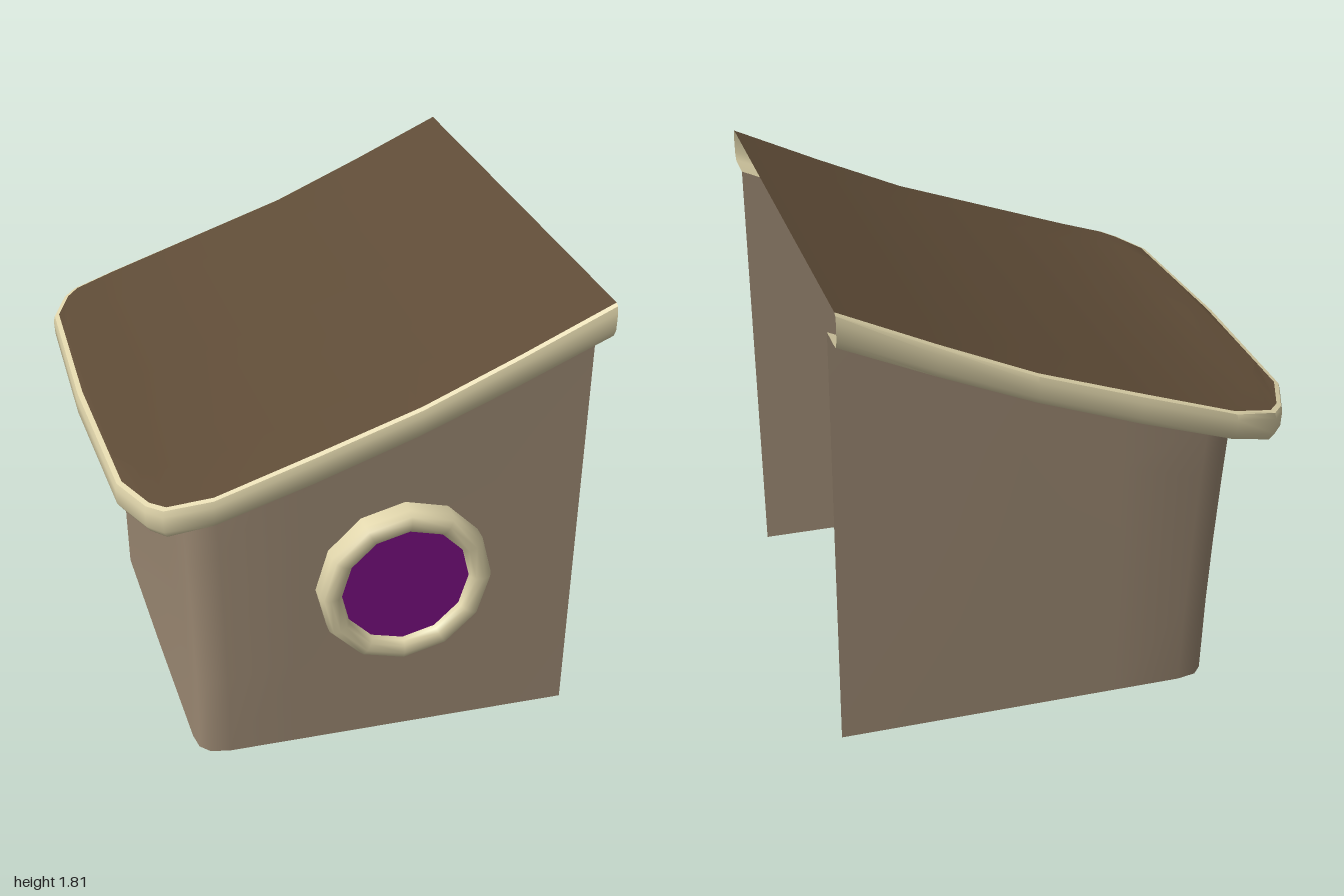
import * as THREE from 'three';
import { toCreasedNormals } from 'three/addons/utils/BufferGeometryUtils.js';

const material = (color) => new THREE.MeshStandardMaterial({ color, side: THREE.DoubleSide });
const lerp = THREE.MathUtils.lerp;

// Stations around half the plan, from the open end to the middle of the closed end:
// eave (x, z), eave top and bottom y, wall top (x, z), wall foot (x, z), lift of the roof middle
const half = [
  { eave: [0.87, 1], top: 1.81, low: 1.68, wall: [0.87, 0.84], foot: [0.87, 0.775], lift: 0 },
  { eave: [0.53, 1], top: 1.653, low: 1.53, wall: [0.53, 0.838], foot: [0.53, 0.775], lift: 0 },
  { eave: [0.18, 1], top: 1.5, low: 1.385, wall: [0.18, 0.835], foot: [0.18, 0.775], lift: 0 },
  { eave: [-0.2, 1], top: 1.37, low: 1.25, wall: [-0.2, 0.83], foot: [-0.2, 0.775], lift: 0 },
  { eave: [-0.56, 0.995], top: 1.25, low: 1.135, wall: [-0.52, 0.83], foot: [-0.47, 0.775], lift: 0 },
  { eave: [-0.73, 0.95], top: 1.212, low: 1.09, wall: [-0.59, 0.81], foot: [-0.545, 0.76], lift: 0.015 },
  { eave: [-0.78, 0.89], top: 1.205, low: 1.09, wall: [-0.63, 0.77], foot: [-0.58, 0.72], lift: 0.015 },
  { eave: [-0.85, 0.71], top: 1.205, low: 1.09, wall: [-0.655, 0.69], foot: [-0.59, 0.65], lift: 0.005 },
  { eave: [-0.872, 0], top: 1.205, low: 1.09, wall: [-0.665, 0], foot: [-0.592, 0], lift: 0 },
];
const mirrorZ = ([x, z]) => [x, -z];
const stations = [
  ...half,
  ...half.slice(0, -1).reverse().map((s) => ({
    ...s, eave: mirrorZ(s.eave), wall: mirrorZ(s.wall), foot: mirrorZ(s.foot),
  })),
];

// Skin a grid of cross-sections
function skin(rows, crease) {
  const cols = rows[0].length;
  const index = [];
  for (let i = 0; i < rows.length - 1; i++) {
    for (let j = 0; j < cols - 1; j++) {
      const a = i * cols + j, b = a + cols;
      index.push(a, b, a + 1, b, b + 1, a + 1);
    }
  }
  const geometry = new THREE.BufferGeometry();
  geometry.setAttribute('position', new THREE.Float32BufferAttribute(rows.flat(2), 3));
  geometry.setIndex(index);
  return toCreasedNormals(geometry, crease);
}

// Point of the eave section: f runs from the eave in to the wall, g from top to bottom
const eavePoint = (s, f, g) => [
  lerp(s.eave[0], s.wall[0], f), lerp(s.top, s.low, g), lerp(s.eave[1], s.wall[1], f),
];

export function createModel() {
  const model = new THREE.Group();
  const add = (parent, name, geometry, mat) => {
    const mesh = new THREE.Mesh(geometry, mat);
    mesh.name = name;
    parent.add(mesh);
    return mesh;
  };
  const cream = material(0xe0d5ab);

  // Flaring wall around three sides, open at +x, with a sloping top edge
  const wallRows = stations.map((s) => [0, 0.3, 0.55, 0.8, 1].map((t) => [
    lerp(s.foot[0], s.wall[0], t ** 1.6), s.low * t, lerp(s.foot[1], s.wall[1], t),
  ]));
  add(model, 'wall', skin(wallRows, 0.7), material(0x9c8973));

  // Sloping roof, strip by strip between the two eaves
  const roofRows = half.map((s) => {
    const [x, y, z] = eavePoint(s, 0.12, 0);
    return [1, 0.75, 0, -0.75, -1].map((k) => [x, y + (Math.abs(k) < 1 ? s.lift : 0), z * k]);
  });
  add(model, 'roof', skin(roofRows, 0.6), material(0x5f4c37));

  // Rounded trim hanging from the roof edge and curling in to the wall
  const section = [[0.12, 0], [0.03, 0.06], [0, 0.25], [0.02, 0.75], [0.12, 0.97], [0.3, 1], [1, 1]];
  const trimRows = stations.map((s) => section.map(([f, g]) => eavePoint(s, f, g)));
  add(model, 'roofTrim', skin(trimRows, 0.9), cream);

  // Round window, leaning with the wall
  const porthole = new THREE.Group();
  porthole.name = 'window';
  porthole.position.set(0.185, 0.695, 0.825);
  porthole.rotation.x = 0.065;
  const profile = [
    [0.332, -0.06], [0.332, 0.03], [0.32, 0.055], [0.295, 0.065], [0.265, 0.06], [0.25, 0.045], [0.246, 0.02],
  ].map(([r, h]) => new THREE.Vector2(r, h));
  add(porthole, 'windowFrame', new THREE.LatheGeometry(profile, 12).rotateX(Math.PI / 2), cream);
  const pane = add(porthole, 'windowPane', new THREE.CircleGeometry(0.25, 12), new THREE.MeshStandardMaterial({ color: 0x7a0f82 }));
  pane.position.z = 0.025;
  model.add(porthole);

  return model;
}
